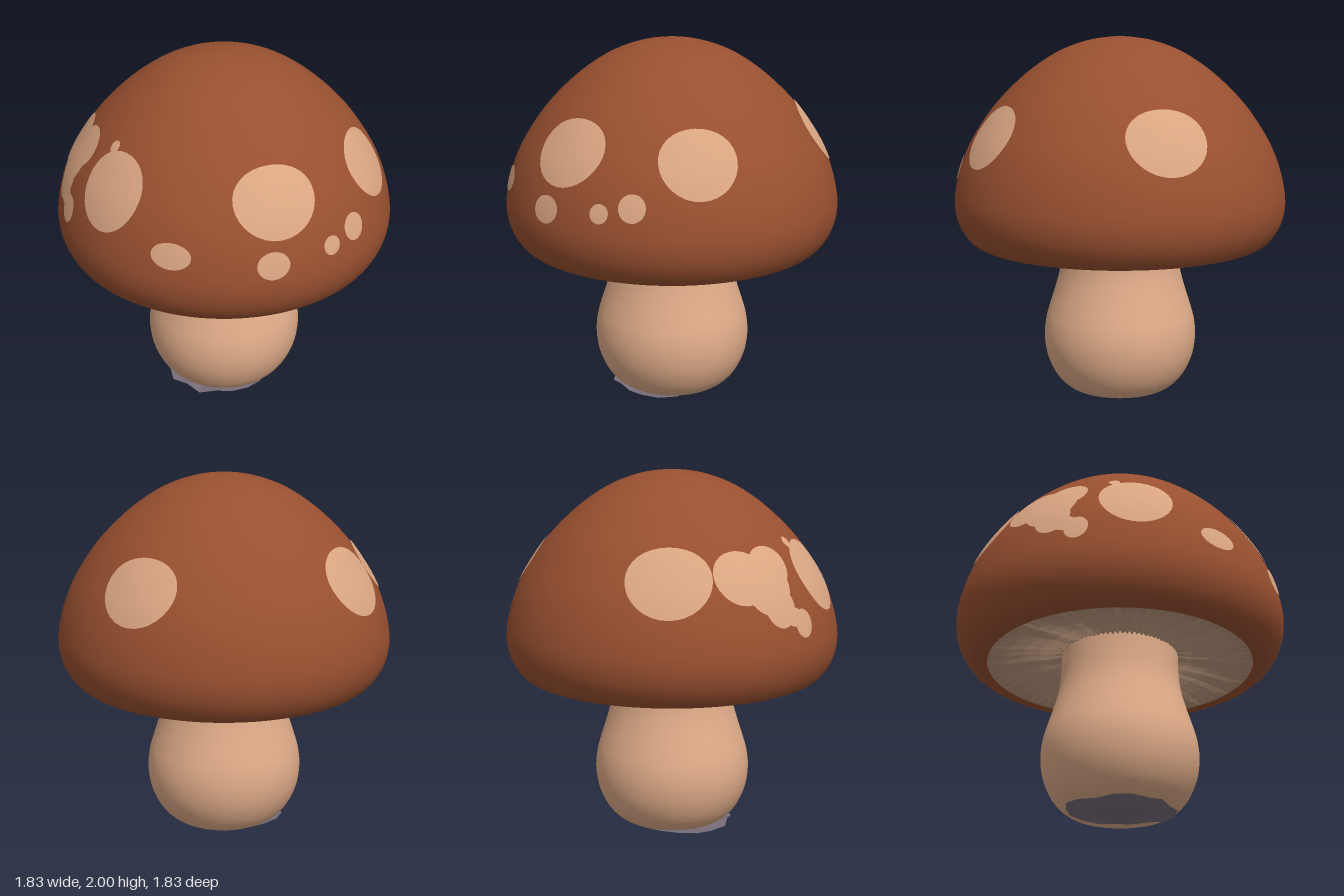
import * as THREE from 'three';

const material = (name, color, extra = {}) => {
  const m = new THREE.MeshStandardMaterial({ color, ...extra });
  m.name = name;
  return m;
};

const curveOf = (pairs) => new THREE.SplineCurve(pairs.map(([r, y]) => new THREE.Vector2(r, y)));

// small repeatable noise in 0..1
const noise = (i) => {
  const s = Math.sin(i * 127.1 + 3.7) * 43758.5453;
  return s - Math.floor(s);
};

// outer cap profile, from the rim of the gills up to the crown
const capCurve = curveOf([
  [0.735, 0.872], [0.8, 0.872], [0.855, 0.915], [0.9, 1.0], [0.915, 1.1], [0.9, 1.21], [0.868, 1.32],
  [0.825, 1.42], [0.765, 1.52], [0.685, 1.63], [0.58, 1.74], [0.46, 1.84], [0.32, 1.925], [0.16, 1.98], [0, 2.0],
]);
const capLength = capCurve.getLength();
const capSamples = capCurve.getSpacedPoints(300);

// position along the cap profile (0..1) at a given height
function capParam(y) {
  const i = capSamples.findIndex((p, k) => k > 15 && p.y >= y);
  return i / 300;
}

// a thin patch that follows the cap: centre direction (x, z), height y, half sizes
function spotGeometry(x, z, y, halfWidth, halfHeight) {
  const g = new THREE.RingGeometry(0, 1, 32, 6);
  const pos = g.attributes.position;
  const angle = Math.atan2(x, z), u0 = capParam(y);
  for (let i = 0; i < pos.count; i++) {
    const u = u0 + (pos.getY(i) * halfHeight) / capLength;
    const p = capCurve.getPointAt(u), t = capCurve.getTangentAt(u);
    const a = angle + (pos.getX(i) * halfWidth) / p.x;
    const r = p.x + t.y * 0.005;
    pos.setXYZ(i, r * Math.sin(a), p.y - t.x * 0.005, r * Math.cos(a));
  }
  g.computeVertexNormals();
  return g;
}

// gilled underside: a shallow hollow with ridges running outward
function gillGeometry() {
  const segments = 160, rings = 5;
  const profile = [];
  for (let j = 0; j <= rings; j++) {
    const k = j / rings;
    profile.push(new THREE.Vector2(0.29 + 0.447 * k, 0.93 - 0.058 * k * k));
  }
  const g = new THREE.LatheGeometry(profile, segments);
  const pos = g.attributes.position;
  for (let i = 0; i <= segments; i++) {
    const ridge = (i % 2 ? -1 : 1) * (0.008 + 0.012 * noise(i % segments));
    for (let j = 1; j < rings; j++) {
      const n = i * (rings + 1) + j;
      pos.setY(n, pos.getY(n) + ridge);
    }
  }
  return g;
}

// ragged, slightly curled sheet under the foot
function soilGeometry() {
  const g = new THREE.RingGeometry(0, 1, 18, 2);
  const pos = g.attributes.position;
  for (let i = 0; i < pos.count; i++) {
    const px = pos.getX(i), py = pos.getY(i), d = Math.hypot(px, py);
    const k = Math.round((Math.atan2(py, px) / (Math.PI * 2)) * 18 + 18) % 18;
    const r = 0.26 + 0.05 * noise(k);
    const lift = d > 0.9 ? 0.015 + 0.02 * noise(k + 40) : 0.006 * d;
    pos.setXYZ(i, px * r - 0.06, lift, py * r + 0.025);
  }
  return g;
}

export function createModel() {
  const model = new THREE.Group();
  model.name = 'mushroom';

  const capBrown = material('cap brown', 0x995030);
  const spotCream = material('spot cream', 0xdba683);
  const stemCream = material('stem cream', 0xdfab88);
  const gillTan = material('gill tan', 0xb8947a, { flatShading: true, side: THREE.DoubleSide });
  const soilGrey = material('soil grey', 0x7a6f7b, { flatShading: true, side: THREE.DoubleSide });

  const add = (name, geometry, mat, parent = model) => {
    const mesh = new THREE.Mesh(geometry, mat);
    mesh.name = name;
    parent.add(mesh);
    return mesh;
  };

  add('cap', new THREE.LatheGeometry(capCurve.getSpacedPoints(60), 96), capBrown);
  add('gills', gillGeometry(), gillTan);

  // stem with a swollen foot
  const stemCurve = curveOf([
    [0.2, 0.025], [0.28, 0.03], [0.36, 0.095], [0.415, 0.2], [0.435, 0.31], [0.428, 0.41], [0.404, 0.5],
    [0.372, 0.6], [0.345, 0.7], [0.332, 0.8], [0.328, 0.94],
  ]);
  const stemPoints = [new THREE.Vector2(0, 0.025), ...stemCurve.getPoints(40)];
  add('stem', new THREE.LatheGeometry(stemPoints, 64), stemCream).scale.z = 0.98;
  add('soil', soilGeometry(), soilGrey);

  // spots: x, z, height, half width, half height
  const spots = new THREE.Group();
  spots.name = 'spots';
  model.add(spots);
  [
    [-0.13, 0.76, 1.505, 0.215, 0.188],
    [0.53, 0.59, 1.49, 0.2, 0.188],
    [0.68, -0.4, 1.505, 0.215, 0.188],
    [-0.44, -0.64, 1.5, 0.22, 0.195],
    [-0.76, 0.21, 1.47, 0.195, 0.21],
    [-0.63, 0.61, 1.265, 0.105, 0.068],
    [-0.2, 0.87, 1.22, 0.085, 0.072],
    [0.13, 0.87, 1.25, 0.05, 0.05],
    [0.29, 0.82, 1.29, 0.07, 0.072],
    [-0.65, 0.08, 1.64, 0.03, 0.035],
    // merged blob on the side
    [-0.65, -0.34, 1.51, 0.15, 0.15],
    [-0.69, -0.16, 1.55, 0.12, 0.12],
    [-0.72, -0.23, 1.47, 0.15, 0.17],
    [-0.8, -0.21, 1.36, 0.1, 0.11],
    [-0.86, -0.14, 1.3, 0.06, 0.05],
    [-0.88, -0.08, 1.26, 0.065, 0.075],
  ].forEach((s, i) => add(`spot${i + 1}`, spotGeometry(...s), spotCream, spots));

  return model;
}
